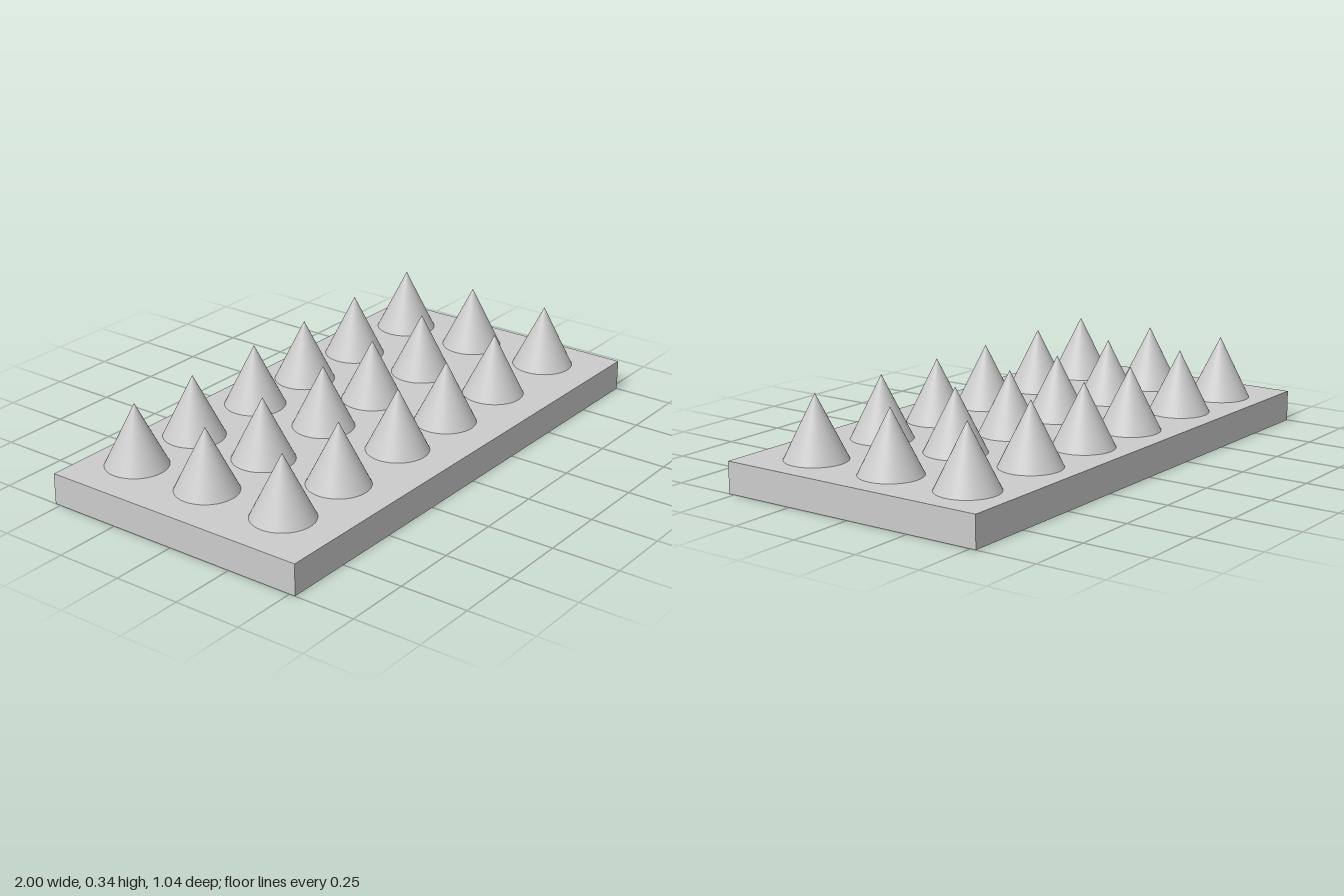
import * as THREE from 'three';

export function createModel() {
  const group = new THREE.Group();
  const material = new THREE.MeshStandardMaterial({ color: 0xcccccc });
  const baseHeight = 0.115, spikeHeight = 0.23, spikeRadius = 0.113;

  // Flat slab
  const base = new THREE.Mesh(new THREE.BoxGeometry(2, baseHeight, 1.044), material);
  base.name = 'base';
  base.position.y = baseHeight / 2;
  group.add(base);

  // Rows of cones, unevenly spaced
  const columns = [-0.777, -0.48, -0.143, 0.15, 0.463, 0.808];
  const rows = [-0.345, -0.029, 0.297];
  const cone = new THREE.ConeGeometry(spikeRadius, spikeHeight, 48);
  const spikes = new THREE.Group();
  spikes.name = 'spikes';
  for (const z of rows) {
    for (const x of columns) {
      const spike = new THREE.Mesh(cone, material);
      spike.name = 'spike';
      spike.position.set(x, baseHeight + spikeHeight / 2, z);
      spikes.add(spike);
    }
  }
  group.add(spikes);
  return group;
}
